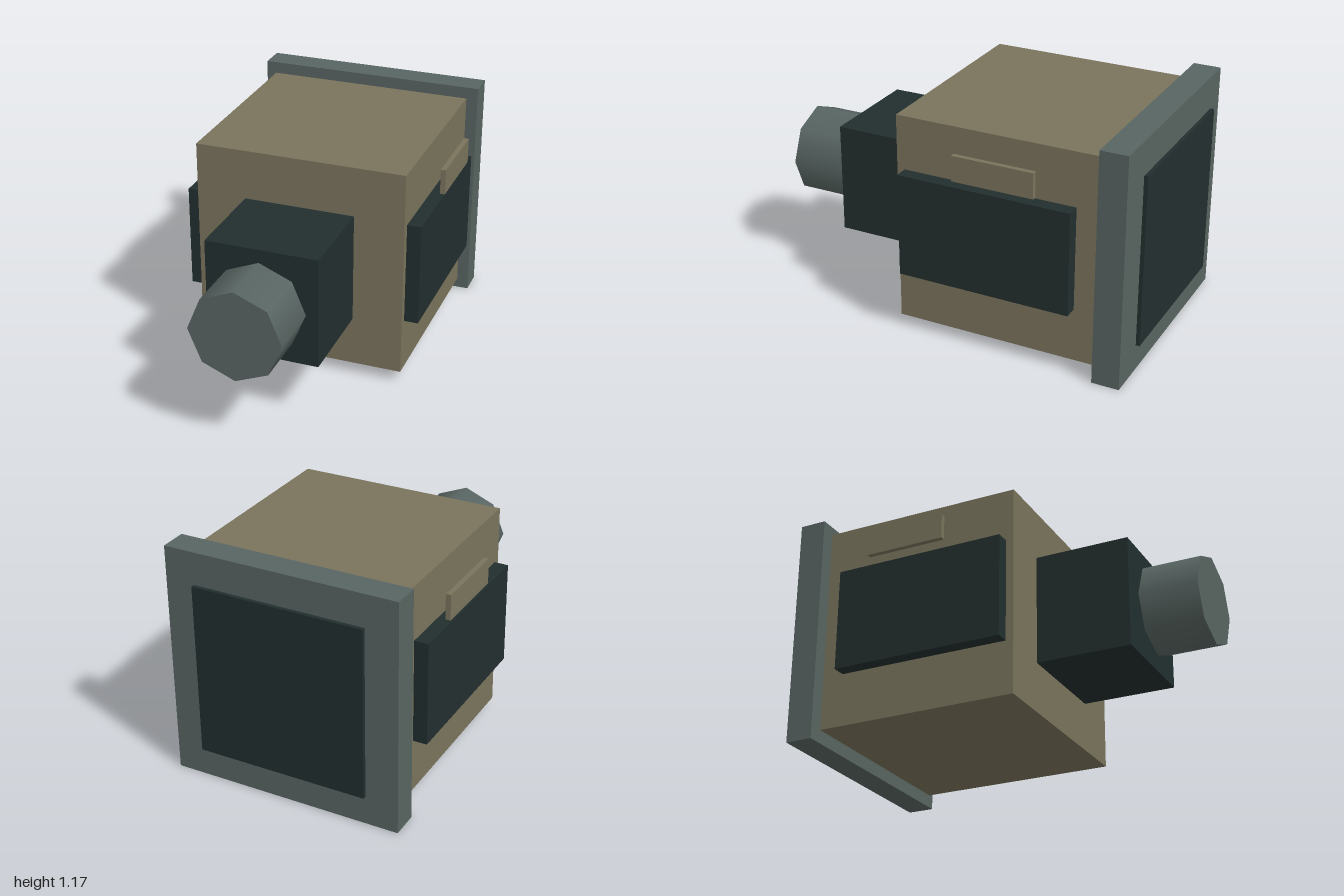
import * as THREE from 'three';

const tan = new THREE.MeshStandardMaterial({ color: 0x7a745c });
tan.name = 'drabTan';
const dark = new THREE.MeshStandardMaterial({ color: 0x222e2e });
dark.name = 'darkSlate';
const grey = new THREE.MeshStandardMaterial({ color: 0x586562 });
grey.name = 'greyGreen';

export function createModel() {
  const model = new THREE.Group();
  model.name = 'boxyDevice';

  // Adds a box from its extents along each axis
  function box(name, material, [x0, x1], [y0, y1], [z0, z1]) {
    const mesh = new THREE.Mesh(new THREE.BoxGeometry(x1 - x0, y1 - y0, z1 - z0), material);
    mesh.position.set((x0 + x1) / 2, (y0 + y1) / 2, (z0 + z1) / 2);
    mesh.name = name;
    model.add(mesh);
  }

  // Main housing and the square neck in front of it
  box('body', tan, [-0.53, 0.53], [0.058, 1.117], [-0.818, 0.207]);
  box('neck', dark, [-0.279, 0.279], [0.308, 0.866], [0.207, 0.682]);

  // Rear frame with its thin panel, each separated by a small gap
  box('rearFrame', grey, [-0.586, 0.586], [0, 1.172], [-0.968, -0.831]);
  box('rearPanel', dark, [-0.43, 0.43], [0.157, 1.018], [-1, -0.981]);

  // Side panels and the small plates above them, mirrored
  for (const [side, s] of [['left', 1], ['right', -1]]) {
    const span = (a, b) => (s > 0 ? [a, b] : [-b, -a]);
    box(side + 'SidePanel', dark, span(0.53, 0.6), [0.327, 0.847], [-0.709, 0.168]);
    box(side + 'SidePlate', tan, span(0.6, 0.625), [0.89, 1.017], [-0.54, -0.13]);
  }

  // Eight-sided barrel, smooth around its side
  const barrel = new THREE.Mesh(new THREE.CylinderGeometry(0.228, 0.228, 0.292, 8), grey);
  barrel.name = 'barrel';
  barrel.rotation.x = Math.PI / 2;
  barrel.position.set(0, 0.587, 0.854);
  model.add(barrel);

  return model;
}
